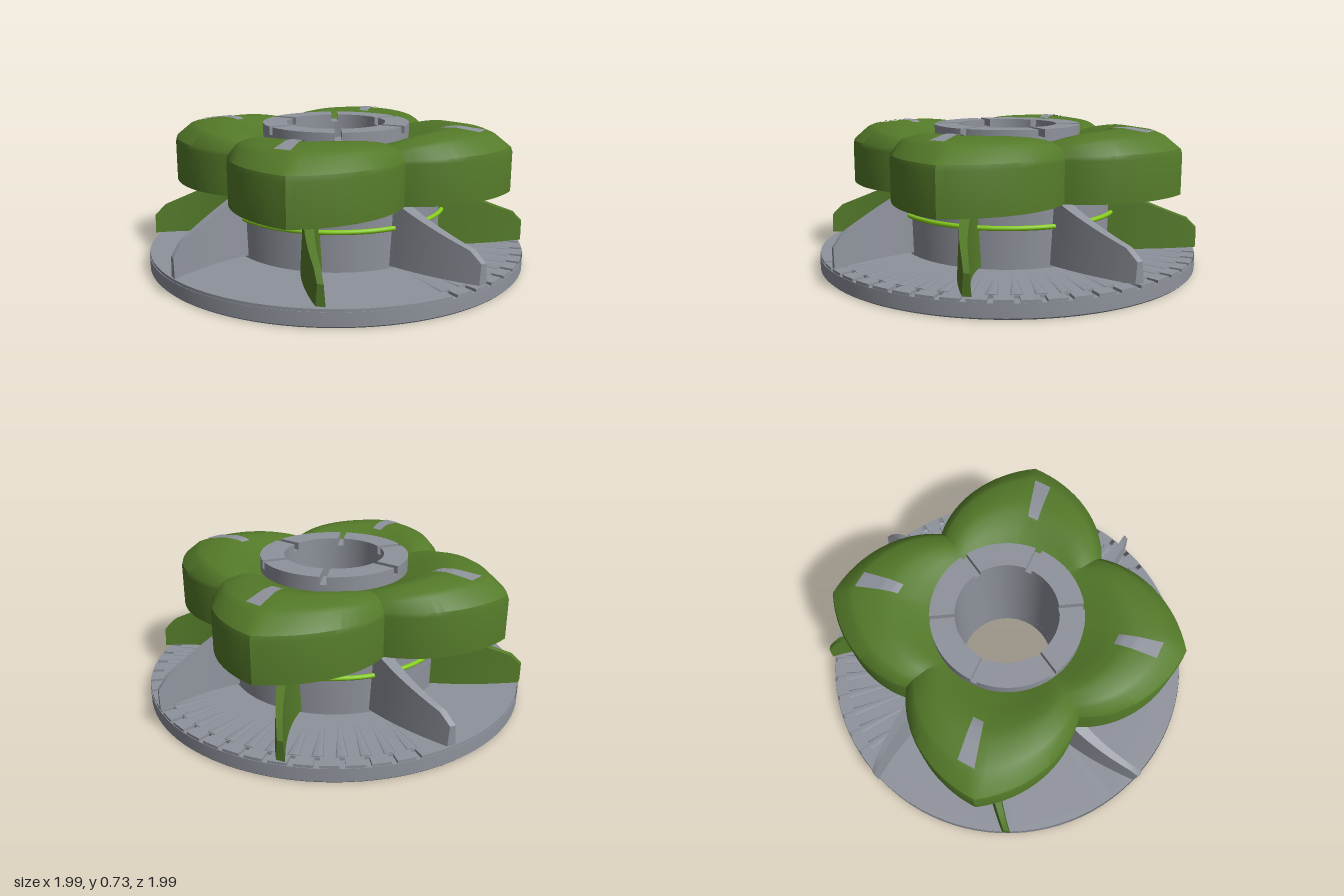
import * as THREE from 'three';
import { toCreasedNormals } from 'three/addons/utils/BufferGeometryUtils.js';

const mat = (name, color) => {
  const m = new THREE.MeshStandardMaterial({ color, side: THREE.DoubleSide });
  m.name = name;
  return m;
};

const BORE = 0.26, RING = 0.385, DISC = 0.995;

// Four-lobed outline: distance from the axis at an angle measured from +z towards +x
const foldAngle = (a) => {
  const q = Math.PI / 2;
  const f = (((a % q) + q) % q) / q;
  return 1 - Math.abs(f - 0.5) * 2; // 0 in a valley, 1 at a petal corner
};
const outline = (a) => {
  const u = foldAngle(a);
  return 0.61 + 0.394 * u - 0.088 * u * u;
};

// Petal rows: share of the way from ring to outline, height, drop in the valleys
const ROWS = [[1, 0.4, 0], [1, 0.605, 0], [0.985, 0.63, 0.01], [0.83, 0.695, 0.04], [0.76, 0.71, 0.045],
  [0.5, 0.727, 0.05], [0.38, 0.722, 0.045], [0.2, 0.69, 0.02], [0, 0.655, 0]];
const drop = (a) => Math.pow(1 - foldAngle(a), 3);

function petalHeight(x, z) {
  const a = Math.atan2(x, z);
  const k = (Math.hypot(x, z) - RING) / (outline(a) - RING);
  for (let i = 2; i < ROWS.length; i++) {
    const [k0, y0, d0] = ROWS[i - 1], [k1, y1, d1] = ROWS[i];
    if (k >= k1) {
      const t = (k0 - k) / (k0 - k1);
      return THREE.MathUtils.lerp(y0, y1, t) - drop(a) * THREE.MathUtils.lerp(d0, d1, t);
    }
  }
  return 0.655;
}

// Surface from a grid of points, point(i, j) with i across and j along
function gridSurface(nu, nv, point) {
  const pos = [], idx = [];
  for (let j = 0; j <= nv; j++) for (let i = 0; i <= nu; i++) pos.push(...point(i / nu, j));
  for (let j = 0; j < nv; j++) {
    for (let i = 0; i < nu; i++) {
      const a = j * (nu + 1) + i, d = a + nu + 1;
      idx.push(a, a + 1, d + 1, a, d + 1, d);
    }
  }
  const g = new THREE.BufferGeometry();
  g.setAttribute('position', new THREE.Float32BufferAttribute(pos, 3));
  g.setIndex(idx);
  return g;
}

// Curved, tapering blade that leans sideways towards the rim
function bladeGeometry() {
  const g = new THREE.BoxGeometry(1, 1, 1, 1, 2, 10);
  const p = g.attributes.position;
  for (let i = 0; i < p.count; i++) {
    const t = p.getZ(i) + 0.5, h = p.getY(i) + 0.5;
    const r = 0.5 + 0.485 * t;
    const top = t > 0.95 ? 0.2 : 0.43 - 0.43 * (r - 0.53);
    const half = THREE.MathUtils.lerp(0.07, 0.022, Math.sqrt(t)) * (1 - 0.35 * h);
    const mid = 0.005 + 0.16 * Math.pow(t, 1.7);
    p.setXYZ(i, mid + p.getX(i) * 2 * half, 0.1 + h * (Math.min(top, 0.43) - 0.1), r);
  }
  return toCreasedNormals(g, 0.5);
}

// Flat shape in plan, raised from y0 to y1
function raised(shape, y0, y1) {
  const g = new THREE.ExtrudeGeometry(shape, { depth: y1 - y0, bevelEnabled: false, curveSegments: 24 });
  g.rotateX(-Math.PI / 2);
  g.translate(0, y0, 0);
  return toCreasedNormals(g, 0.5);
}

const lathe = (pts) =>
  toCreasedNormals(new THREE.LatheGeometry(pts.map(([x, y]) => new THREE.Vector2(x, y)), 96), 0.5);

export function createModel() {
  const grey = mat('grey metal', 0x8e929b);
  const green = mat('leaf green', 0x547a29);
  const lime = mat('bright lime', 0x86cc1e);
  const model = new THREE.Group();
  model.name = 'flowerRotor';
  const add = (name, geo, material, parent = model) => {
    const m = new THREE.Mesh(geo, material);
    m.name = name;
    parent.add(m);
    return m;
  };

  // Base disc
  add('baseDisc', lathe([[BORE, 0.074], [BORE, 0], [DISC - 0.008, 0], [DISC, 0.008], [DISC, 0.074]]), grey);

  // Upper layer of the disc, notched around the +x half of its rim
  const TICKS = 27, tickAngle = (i) => -Math.PI / 2 + (i * Math.PI) / TICKS;
  const rim = [];
  const polar = (r, a) => rim.push(new THREE.Vector2(r * Math.cos(a), r * Math.sin(a)));
  for (let i = 0; i <= TICKS; i++) {
    const a = tickAngle(i), w = 0.013;
    polar(DISC - 0.004, a - w);
    polar(0.93, a - w);
    polar(0.93, a + w);
    polar(DISC - 0.004, a + w);
    if (i < TICKS) polar(DISC - 0.004, a + Math.PI / TICKS / 2);
  }
  for (let i = 1; i < 48; i++) polar(DISC - 0.004, Math.PI / 2 + (i * Math.PI) / 48);
  const plate = new THREE.Shape(rim);
  plate.holes.push(new THREE.Path().absarc(0, 0, BORE, 0, Math.PI * 2, true));
  add('notchedPlate', raised(plate, 0.073, 0.087), grey);

  // Faint radial ribs running in from the notches
  const rib = new THREE.ConeGeometry(0.03, 0.38, 8);
  rib.rotateZ(Math.PI / 2);
  rib.scale(1, 0.18, 1);
  rib.translate(0.735, 0.086, 0);
  for (let i = 0; i <= TICKS; i++) add('radialRib', rib, grey).rotation.y = tickAngle(i);

  // Hub with its bore
  add('hub', lathe([[BORE, 0.69], [BORE, 0.08], [0.56, 0.08], [0.56, 0.56], [RING, 0.62], [RING, 0.69], [BORE, 0.69]]), grey);

  // Slotted ring on top
  const slots = 6, hw = 0.017;
  for (let i = 0; i < slots; i++) {
    const a0 = (i * 2 * Math.PI) / slots, a1 = ((i + 1) * 2 * Math.PI) / slots;
    const o = Math.asin(hw / RING), n = Math.asin(hw / BORE);
    const s = new THREE.Shape();
    s.absarc(0, 0, RING, a0 + o, a1 - o, false);
    s.absarc(0, 0, BORE, a1 - n, a0 + n, true);
    s.closePath();
    add('ringSegment', raised(s, 0.69, 0.73), grey);
  }

  // Glowing band around the hub
  const band = add('hubBand', new THREE.TorusGeometry(0.572, 0.012, 10, 96), lime);
  band.rotation.x = Math.PI / 2;
  band.position.y = 0.29;

  // Four-petal cap
  const cap = gridSurface(128, ROWS.length - 1, (u, j) => {
    const a = u * Math.PI * 2, [k, y, d] = ROWS[j];
    const r = RING + k * (outline(a) - RING);
    return [r * Math.sin(a), y - d * drop(a), r * Math.cos(a)];
  });
  add('petalCap', toCreasedNormals(cap, 0.5), green);

  // Inlaid strip on each petal, following its surface
  const inlay = gridSurface(2, 16, (u, j) => {
    const t = j / 16, mix = THREE.MathUtils.lerp;
    const x = mix(mix(0.335, 0.385, u), mix(0.46, 0.54, u), t);
    const z = mix(mix(0.43, 0.405, u), mix(0.605, 0.565, u), t);
    return [-x, petalHeight(-x, -z) + 0.005, -z];
  });
  inlay.computeVertexNormals();
  for (let i = 0; i < 4; i++) add('petalInlay', inlay, grey).rotation.y = (i * Math.PI) / 2;

  // Eight blades, alternating colours
  const blade = bladeGeometry();
  for (let i = 0; i < 8; i++) {
    add(i % 2 ? 'greenBlade' : 'greyBlade', blade, i % 2 ? green : grey).rotation.y = (i * Math.PI) / 4;
  }
  return model;
}
